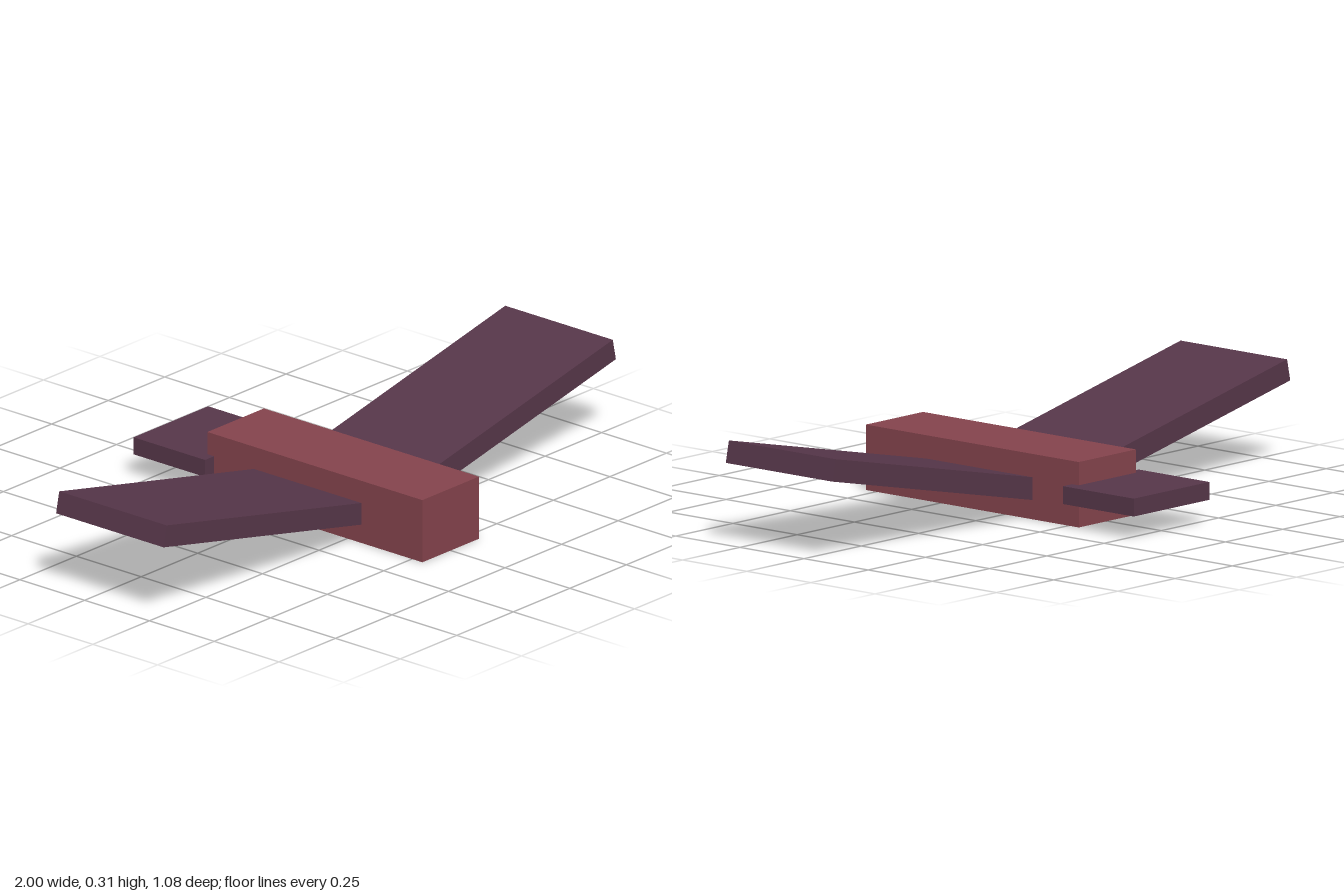
import * as THREE from 'three';

export function createModel() {
  const model = new THREE.Group();
  model.name = 'glider';

  const red = new THREE.MeshStandardMaterial({ color: 0x84434c });
  red.name = 'dusty red';
  const plum = new THREE.MeshStandardMaterial({ color: 0x563649 });
  plum.name = 'dark plum';

  function addBox(name, size, position, material) {
    const mesh = new THREE.Mesh(new THREE.BoxGeometry(...size), material);
    mesh.name = name;
    mesh.position.set(...position);
    model.add(mesh);
    return mesh;
  }

  // Fuselage and tailplane
  addBox('fuselage', [0.25, 0.194, 0.83], [0, 0.097, 0.125], red);
  addBox('tailplane', [0.33, 0.053, 0.276], [0, 0.0985, -0.402], plum);

  // Wings, raised towards the tips
  const dihedral = THREE.MathUtils.degToRad(12);
  for (const side of [1, -1]) {
    const wing = addBox(side > 0 ? 'leftWing' : 'rightWing',
      [0.9, 0.066, 0.415], [side * 0.553, 0.182, 0.0975], plum);
    wing.rotation.z = side * dihedral;
  }

  return model;
}
